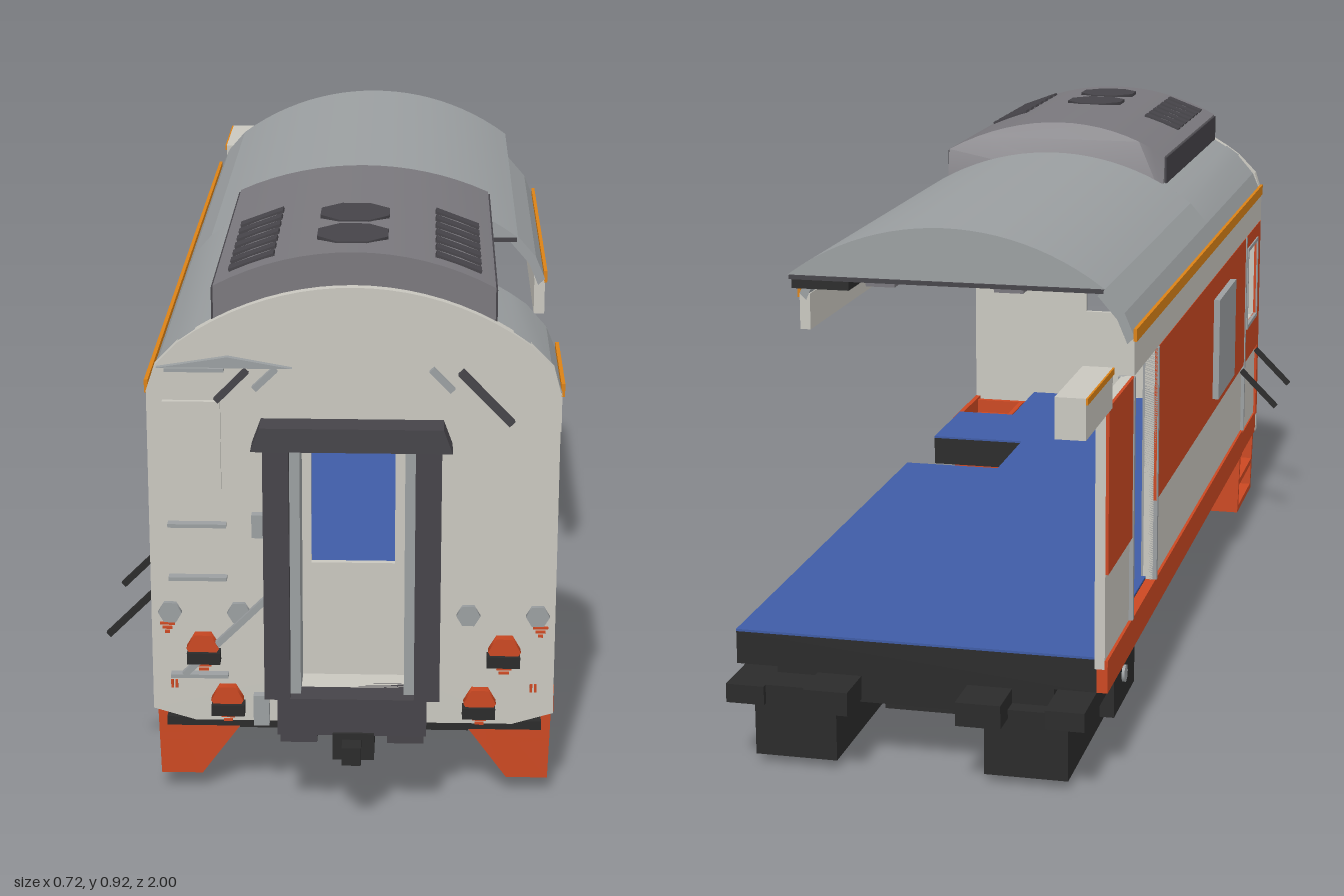
import * as THREE from 'three';
import { toCreasedNormals } from 'three/addons/utils/BufferGeometryUtils.js';

const mat = (name, color, side = THREE.FrontSide) => {
  const m = new THREE.MeshStandardMaterial({ color, side });
  m.name = name;
  return m;
};

export function createModel() {
  const root = new THREE.Group();
  root.name = 'railCarSection';
  const cream = mat('cream', 0xc9c7bf);
  const roofGrey = mat('roofGrey', 0x9b9fa1, THREE.DoubleSide);
  const unitGrey = mat('unitGrey', 0x7a787d);
  const charcoal = mat('charcoal', 0x464449);
  const black = mat('black', 0x2b2b2b);
  const blue = mat('blue', 0x3f5ca6);
  const red = mat('redOrange', 0xcb4822);
  const amber = mat('amber', 0xdb8216);
  const CX = 0.035; // body centre line
  const R = 0.456;  // roof radius
  const arcY = (x, top = 0.868) => top - R + Math.sqrt(R * R - (x - CX) ** 2);
  const mx = x => 2 * CX - x;

  const add = (name, geo, m) => {
    const mesh = new THREE.Mesh(geo, m);
    mesh.name = name;
    root.add(mesh);
    return mesh;
  };
  const box = (name, m, x0, x1, y0, y1, z0, z1) => {
    const b = add(name, new THREE.BoxGeometry(Math.abs(x1 - x0), y1 - y0, z1 - z0), m);
    b.position.set((x0 + x1) / 2, (y0 + y1) / 2, (z0 + z1) / 2);
    return b;
  };
  const prism = (name, m, pts, z0, z1, hole) => {
    const s = new THREE.Shape(pts.map(p => new THREE.Vector2(...p)));
    if (hole) {
      const [a, b, c, d] = hole;
      s.holes.push(new THREE.Path([[a, c], [a, d], [b, d], [b, c]].map(p => new THREE.Vector2(...p))));
    }
    const g = new THREE.ExtrudeGeometry(s, { depth: z1 - z0, bevelEnabled: false });
    g.translate(0, 0, z0);
    return add(name, toCreasedNormals(g, 0.3), m);
  };
  const rod = (name, m, a, b, w = 0.01) => {
    const A = new THREE.Vector3(...a), B = new THREE.Vector3(...b);
    const r = add(name, new THREE.BoxGeometry(w, A.distanceTo(B), w), m);
    r.position.copy(A).add(B).multiplyScalar(0.5);
    r.quaternion.setFromUnitVectors(new THREE.Vector3(0, 1, 0), B.sub(A).normalize());
    return r;
  };
  const arc = (x0, x1, top, n = 16) =>
    Array.from({ length: n + 1 }, (_, i) => x0 + (x1 - x0) * i / n).map(x => [x, arcY(x, top)]);
  const rect = (x0, x1, y0, y1) => [[x0, y0], [x1, y0], [x1, y1], [x0, y1]];

  // Floor slab with a stair notch, blue on top
  const floor = [[-0.27, -0.8], [0.34, -0.8], [0.34, 0.23], [0.15, 0.23], [0.15, 0.44],
    [0.34, 0.44], [0.34, 0.65], [0.22, 0.65], [0.22, 0.86], [-0.15, 0.86], [-0.15, 0.65], [-0.27, 0.65]];
  const slab = (name, m, y0, y1) => {
    const s = new THREE.Shape(floor.map(([x, z]) => new THREE.Vector2(x, -z)));
    const g = new THREE.ExtrudeGeometry(s, { depth: y1 - y0, bevelEnabled: false });
    g.rotateX(-Math.PI / 2).translate(0, y0, 0);
    add(name, g, m);
  };
  slab('floorSlab', black, 0.16, 0.216);
  slab('floorCovering', blue, 0.216, 0.22);

  // Side wall: cream core, red upper skin, skirt and stripe
  const wall = [[-0.8, -0.59, 0.2, 0.635], [-0.38, 0.68, 0.2, 0.635], [0.81, 0.865, 0.2, 0.635],
    [0.68, 0.81, 0.2, 0.44], [0.68, 0.81, 0.6, 0.635]];
  for (const [z0, z1, y0, y1] of wall) {
    box('sideWall', cream, -0.283, -0.266, y0, y1, z0, z1);
    box('upperPaint', red, -0.288, -0.283, Math.max(y0, 0.36), y1, z0, z1);
  }
  box('cornerPaint', red, -0.288, -0.283, 0.2, 0.36, 0.845, 0.865);
  box('skirtPaint', red, -0.288, -0.27, 0.16, 0.215, -0.8, 0.65);
  for (const z of [-0.6, -0.38, 0.65]) box('doorPost', roofGrey, -0.29, -0.262, 0.215, 0.635, z, z + 0.01);
  for (const z of [0.672, 0.81]) box('windowFrame', roofGrey, -0.291, -0.262, 0.432, 0.608, z, z + 0.008);
  for (const y of [0.432, 0.6]) box('windowFrame', roofGrey, -0.291, -0.262, y, y + 0.008, 0.672, 0.818);
  box('sideWindow', roofGrey, -0.3, -0.288, 0.39, 0.59, 0.23, 0.44);
  box('endBeam', cream, -0.293, -0.245, 0.635, 0.7, -1, -0.8);
  box('beamStripe', amber, -0.296, -0.293, 0.69, 0.7, -1, -0.8);
  for (const z of [0.64, 0.845]) rod('sideRod', black, [-0.36, 0.275, z], [-0.285, 0.35, z]);
  box('doorHandle', black, -0.264, -0.255, 0.37, 0.43, 0.635, 0.645);

  // Cornice, amber stripe and curved roof shoulder, on either side
  const shoulder = (left, z0, z1, inner) => {
    const X = left ? mx : x => x;
    const edge = [[-0.287, 0.7], [-0.27, 0.74], [-0.237, 0.778]];
    if (inner) edge.push([-0.21, arcY(-0.21)], [-0.18, arcY(-0.18)]);
    const under = edge.map(([x, y]) => [x + 0.012, y - 0.012]).reverse();
    const pts = edge.concat(under).map(([x, y]) => [X(x), y]);
    prism('roofShoulder', roofGrey, pts, z0, z1);
    box('cornice', cream, X(-0.287), X(-0.268), 0.635, 0.7, z0, z1);
    box('corniceStripe', amber, X(-0.291), X(-0.285), 0.693, 0.714, z0, z1);
  };
  shoulder(false, -0.59, 0.24, false);
  shoulder(false, 0.24, 0.865, true);
  shoulder(true, -0.38, 0.23, false);
  shoulder(true, 0.65, 0.865, true);

  // Main roof segment with its flat ceiling
  prism('roof', roofGrey, arc(0.307, -0.237, 0.868, 24), -0.59, 0.24);
  box('ceiling', charcoal, -0.235, 0.305, 0.77, 0.777, -0.59, 0.24);
  for (const x of [-0.1, 0.12]) box('ceilingStrip', unitGrey, x, x + 0.05, 0.764, 0.77, -0.59, 0.24);
  box('ceilingBox', black, 0.2, 0.3, 0.755, 0.77, -0.59, -0.38);

  // Roof ventilation unit with a sloped rear end
  const unit = prism('roofUnit', unitGrey, [[-0.182, 0.782], [0.252, 0.782], ...arc(0.252, -0.182, 0.92)], 0.24, 0.86);
  const p = unit.geometry.attributes.position;
  for (let i = 0; i < p.count; i++)
    if (p.getZ(i) < 0.3 && p.getY(i) > 0.84) p.setZ(i, 0.24 + (p.getY(i) - 0.84) * 0.65);
  unit.geometry = toCreasedNormals(unit.geometry, 0.3);
  for (const x of [-0.185, 0.251]) box('unitSide', charcoal, x, x + 0.004, 0.782, 0.862, 0.26, 0.86);
  for (const z of [0.62, 0.75]) {
    const fan = add('fanGrille', new THREE.CylinderGeometry(0.06, 0.06, 0.008, 8), charcoal);
    fan.position.set(0.03, 0.918, z);
    fan.rotation.y = Math.PI / 8;
  }
  for (const s of [-1, 1]) for (let i = 0; i < 7; i++) {
    const l = add('louver', new THREE.BoxGeometry(0.075, 0.006, 0.026), charcoal);
    l.position.set(CX + s * 0.16, arcY(CX + 0.16, 0.92), 0.545 + i * 0.044);
    l.rotation.z = -s * Math.asin(0.16 / R);
  }

  // Front end wall with doorway
  const end = [[-0.22, 0.14], [0.29, 0.14], [0.355, 0.16], [0.355, 0.7], [0.344, 0.74],
    ...arc(0.307, -0.237, 0.868, 20), [-0.274, 0.74], [-0.287, 0.7], [-0.287, 0.16]];
  prism('endWall', cream, end, 0.855, 0.875, [-0.06, 0.13, 0.22, 0.635]);
  prism('endDoor', cream, rect(-0.06, 0.13, 0.22, 0.635), 0.857, 0.867, [-0.032, 0.1, 0.413, 0.608]);

  // Gangway frame around the doorway
  prism('gangwayTunnel', cream, rect(-0.1, 0.167, 0.22, 0.655), 0.875, 0.92, [-0.062, 0.132, 0.222, 0.635]);
  for (const s of [0, 1]) {
    const X = s ? mx : x => x;
    box('gangwayPost', charcoal, X(-0.102), X(-0.062), 0.22, 0.64, 0.885, 0.965);
    box('gangwayLiner', roofGrey, X(-0.062), X(-0.046), 0.22, 0.635, 0.875, 0.945);
    box('gangwayFoot', charcoal, X(-0.078), X(-0.02), 0.145, 0.165, 0.9, 0.96);
  }
  prism('gangwayTop', charcoal, [[-0.12, 0.634], [0.188, 0.634], [0.174, 0.672], [-0.106, 0.672]], 0.92, 0.968);
  box('gangwaySill', charcoal, -0.082, 0.152, 0.16, 0.222, 0.875, 0.965);

  // Coupler and front frame
  box('coupler', black, 0.005, 0.07, 0.12, 0.165, 0.86, 0.97);
  box('couplerHook', black, 0.02, 0.05, 0.125, 0.155, 0.97, 1.0);
  box('frontFrame', black, -0.15, 0.22, 0.12, 0.16, 0.62, 0.86);
  box('bufferBeam', black, -0.267, 0.337, 0.125, 0.14, 0.84, 0.865);

  // Lamps, steps and marks mirrored across the front
  for (const s of [0, 1]) {
    const X = s ? mx : x => x;
    const lamp = (name, m, x, y, r, d) => {
      const g = new THREE.CylinderGeometry(r, r, d, 6);
      g.rotateY(Math.PI / 6).rotateX(Math.PI / 2);
      add(name, g, m).position.set(X(x), y, 0.875 + d / 2);
    };
    lamp('headlamp', roofGrey, -0.257, 0.33, 0.019, 0.008);
    lamp('headlamp', roofGrey, -0.147, 0.33, 0.019, 0.008);
    for (const [x, y] of [[-0.205, 0.272], [-0.167, 0.182]]) {
      lamp('tailLamp', red, x, y, 0.026, 0.016);
      box('lampBracket', black, X(x - 0.025), X(x + 0.028), y - 0.025, y - 0.006, 0.875, 0.897);
    }
    for (const [x, y, w] of [[-0.262, 0.307, 0.024], [-0.205, 0.242, 0.032], [-0.167, 0.153, 0.03]])
      for (let i = 0; i < 3; i++)
        box('warningMark', red, X(x - w / 2 + i * 0.004), X(x + w / 2 - i * 0.004), y - i * 0.007, y - i * 0.007 + 0.004, 0.874, 0.878);
    for (const x of [-0.258, -0.251]) box('warningMark', red, X(x), X(x + 0.004), 0.197, 0.211, 0.874, 0.878);

    // Entrance steps: two cheeks, treads and a riser
    const cheek = [[-0.285, 0.2], [-0.28, 0.03], [-0.213, 0.03], [-0.14, 0.13], [-0.14, 0.2]].map(([x, y]) => [X(x), y]);
    prism('stepCheek', red, cheek, 0.65, 0.662);
    prism('stepCheek', red, cheek, 0.834, 0.846);
    for (const [x0, x1, y] of [[-0.28, -0.213, 0.03], [-0.282, -0.18, 0.09], [-0.285, -0.14, 0.16]])
      box('stepTread', red, X(x0), X(x1), y, y + 0.012, 0.65, 0.846);
    box('stepRiser', red, X(-0.18), X(-0.17), 0.1, 0.2, 0.65, 0.846);
    box('stepTop', red, X(-0.286), X(-0.276), 0.16, 0.205, 0.65, 0.87);
  }

  // Ladder rungs, hatch, grab rails and small boxes on the end wall
  for (const y of [0.22, 0.388, 0.478, 0.735]) box('rung', roofGrey, -0.257, -0.165, y, y + 0.006, 0.875, 0.89);
  box('hatch', cream, -0.262, -0.172, 0.54, 0.685, 0.875, 0.883);
  prism('endLedge', roofGrey, [[-0.27, 0.74], [-0.06, 0.74], [-0.16, 0.758]], 0.875, 0.885);
  rod('grabRail', charcoal, [-0.178, 0.688, 0.885], [-0.13, 0.737, 0.885]);
  rod('grabRail', charcoal, [0.2, 0.738, 0.885], [0.28, 0.655, 0.885], 0.012);
  rod('shortRail', roofGrey, [0.155, 0.74, 0.88], [0.188, 0.706, 0.88]);
  rod('shortRail', roofGrey, [-0.119, 0.706, 0.88], [-0.086, 0.738, 0.88]);
  rod('longRail', roofGrey, [-0.235, 0.225, 0.885], [-0.1, 0.36, 0.885]);
  box('controlBox', roofGrey, -0.125, -0.102, 0.462, 0.5, 0.875, 0.89);
  box('controlBox', roofGrey, -0.125, -0.1, 0.138, 0.19, 0.875, 0.89);

  // Underfloor equipment
  box('underframe', black, -0.2, 0.27, 0.11, 0.16, -0.8, -0.12);
  for (const s of [0, 1]) {
    const X = s ? mx : x => x;
    box('equipmentBox', black, X(-0.23), X(-0.09), 0.015, 0.13, -0.83, -0.265);
    box('equipmentRail', black, X(-0.265), X(-0.2), 0.118, 0.15, -0.87, -0.1);
    box('equipmentDoor', black, X(-0.255), X(-0.23), 0.03, 0.118, -0.58, -0.4);
    box('rearBuffer', black, X(-0.13), X(-0.055), 0.115, 0.155, -0.88, -0.78);
    const dial = add('equipmentDial', new THREE.CylinderGeometry(0.016, 0.016, 0.006, 8).rotateZ(Math.PI / 2), roofGrey);
    dial.position.set(X(-0.257), 0.082, -0.5);
  }
  box('rearBracket', black, 0.2, 0.32, 0.115, 0.15, -0.86, -0.78);
  box('centreBox', black, -0.09, 0.16, 0, 0.11, -0.55, -0.4);
  return root;
}
